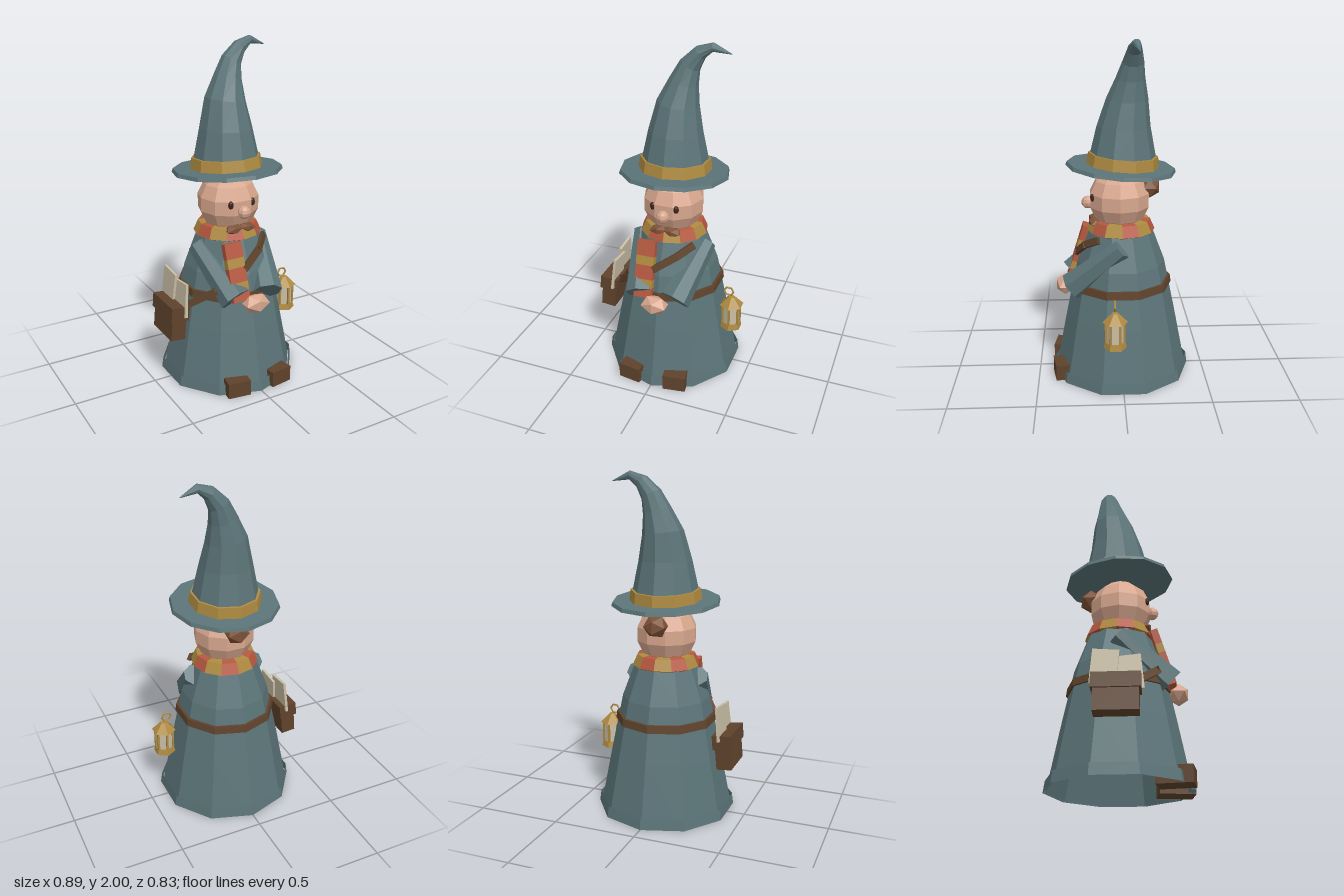
import * as THREE from 'three';

const mat = (name, color, side = THREE.FrontSide) =>
  Object.assign(new THREE.MeshStandardMaterial({ color, flatShading: true, side }), { name });
const cloth = mat('tealCloth', 0x5b7478, THREE.DoubleSide);
const skin = mat('skin', 0xd8a78e);
const gold = mat('gold', 0xae8a40);
const leather = mat('brownLeather', 0x5f432c, THREE.DoubleSide);
const hair = mat('brownHair', 0x7d5238);
const red = mat('redWool', 0xb5583f);
const cream = mat('cream', 0xcabfa6);
const dark = mat('darkEye', 0x3c2418);

const V = (x, y, z) => new THREE.Vector3(x, y, z);

function add(parent, name, geometry, material, x = 0, y = 0, z = 0) {
  const mesh = new THREE.Mesh(geometry, material);
  mesh.name = name;
  mesh.position.set(x, y, z);
  parent.add(mesh);
  return mesh;
}

function group(parent, name, x = 0, y = 0, z = 0) {
  const g = new THREE.Group();
  g.name = name;
  g.position.set(x, y, z);
  parent.add(g);
  return g;
}

const cyl = (rt, rb, h, n, open = false) => new THREE.CylinderGeometry(rt, rb, h, n, 1, open);
const box = (w, h, d) => new THREE.BoxGeometry(w, h, d);
const blob = (x, y, z) => new THREE.IcosahedronGeometry(1, 0).scale(x, y, z);

// Faceted surface through rings [x, y, z, radius] that follow a bending centre line
function bentCone(rings, n) {
  const c = rings.map(r => V(r[0], r[1], r[2]));
  const pos = [], index = [];
  rings.forEach((r, i) => {
    const t = c[Math.min(i + 1, c.length - 1)].clone().sub(c[Math.max(i - 1, 0)]);
    t.z = 0;
    const v = t.normalize().cross(V(0, 0, 1));
    for (let j = 0; j < n; j++) {
      const a = j / n * Math.PI * 2;
      const p = c[i].clone().addScaledVector(v, r[3] * Math.sin(a));
      pos.push(p.x, p.y, p.z + r[3] * Math.cos(a));
      if (i + 1 < rings.length) {
        const k = (j + 1) % n, lo = i * n, hi = lo + n;
        index.push(lo + j, lo + k, hi + k, lo + j, hi + k, hi + j);
      }
    }
  });
  const g = new THREE.BufferGeometry();
  g.setAttribute('position', new THREE.Float32BufferAttribute(pos, 3));
  g.setIndex(index);
  g.computeVertexNormals();
  return g;
}

// Upright mesh laid between two points, bottom to top
function between(mesh, bottom, top) {
  mesh.position.copy(bottom).add(top).multiplyScalar(0.5);
  mesh.quaternion.setFromUnitVectors(V(0, 1, 0), top.clone().sub(bottom).normalize());
}

function buildHat(root) {
  const hat = group(root, 'hat', 0, 1.262, 0);
  const tilted = group(hat, 'brimAndBand');
  tilted.rotation.x = -0.08;
  add(tilted, 'brim', cyl(0.315, 0.322, 0.022, 12), cloth);
  add(tilted, 'hatBand', cyl(0.203, 0.213, 0.065, 10), gold, 0, 0.043, -0.008);
  const crown = bentCone([
    [0, 1.29, -0.008, 0.2], [0, 1.5, -0.015, 0.155], [0.007, 1.66, -0.035, 0.12],
    [0.035, 1.78, -0.052, 0.083], [0.065, 1.87, -0.065, 0.061], [0.12, 1.94, -0.07, 0.042],
    [0.19, 1.975, -0.075, 0.025], [0.292, 1.943, -0.088, 0.002]], 10);
  add(hat, 'hatCrown', crown, cloth, 0, -1.262, 0);
}

function buildHead(root) {
  const head = group(root, 'head', 0, 1.07, 0.01);
  add(head, 'face', new THREE.SphereGeometry(0.183, 10, 7), skin);
  add(head, 'nose', new THREE.SphereGeometry(0.038, 8, 6), skin, 0, -0.02, 0.185);
  add(head, 'hairBun', blob(0.075, 0.068, 0.07), hair, 0, 0.07, -0.175);
  for (const s of [-1, 1]) {
    add(head, 'eye', new THREE.SphereGeometry(0.02, 8, 6).scale(0.9, 1.2, 0.7), dark, s * 0.07, 0.025, 0.157);
    const m = add(head, 'moustache', blob(0.06, 0.028, 0.045), hair, s * 0.042, -0.128, 0.14);
    m.rotation.z = -s * 0.15;
  }
}

function buildScarf(root) {
  const scarf = group(root, 'scarf');
  const profile = [[0.17, 0.87], [0.2, 0.885], [0.172, 0.948], [0.11, 0.955]]
    .map(p => new THREE.Vector2(...p));
  for (let i = 0; i < 12; i++) {
    const wedge = new THREE.LatheGeometry(profile, 1, i * Math.PI / 6, Math.PI / 6);
    add(scarf, 'scarfStripe', wedge, i % 2 ? red : gold);
  }
  // Hanging end, striped along its length
  const tail = group(scarf, 'scarfTail', -0.09, 0.885, 0.205);
  tail.rotation.set(-0.3, 0, 0.02);
  let y = 0;
  [0.09, 0.055, 0.085, 0.05, 0.06].forEach((h, i) => {
    add(tail, 'tailStripe', box(0.11, h, 0.04), i % 2 ? gold : red, 0, y - h / 2, 0);
    y -= h;
  });
}

function buildBody(root) {
  const profile = [[0.397, 0.005], [0.328, 0.36], [0.26, 0.69], [0.185, 0.89], [0.1, 0.91]]
    .map(p => new THREE.Vector2(...p));
  add(root, 'robe', new THREE.LatheGeometry(profile, 10), cloth);
  add(root, 'hem', cyl(0.404, 0.413, 0.065, 10, true), cloth, 0, 0.0325, 0);
  add(root, 'belt', cyl(0.297, 0.303, 0.045, 10), leather, 0, 0.567, 0);

  // Strap running from the left shoulder to the satchel
  const path = [V(0.165, 0.865, 0.14), V(0.09, 0.815, 0.215), V(-0.03, 0.735, 0.262),
    V(-0.2, 0.615, 0.225), V(-0.32, 0.5, 0.09)];
  for (let i = 0; i + 1 < path.length; i++) {
    const strap = add(root, 'strap', box(0.02, path[i].distanceTo(path[i + 1]) + 0.015, 0.042), leather);
    const up = path[i].clone().sub(path[i + 1]).normalize();
    const mid = path[i].clone().add(path[i + 1]).multiplyScalar(0.5);
    const out = V(mid.x, 0.05, mid.z);
    out.addScaledVector(up, -out.dot(up)).normalize();
    strap.quaternion.setFromRotationMatrix(new THREE.Matrix4().makeBasis(out, up, out.clone().cross(up)));
    strap.position.copy(mid);
  }

  for (const s of [-1, 1]) {
    const shoulder = V(s * 0.2, 0.828, 0), cuff = V(s * 0.105, 0.567, 0.283);
    const sleeve = add(root, 'sleeve', cyl(0.06, 0.093, shoulder.distanceTo(cuff), 7), cloth);
    between(sleeve, cuff, shoulder);
    const shoe = add(root, 'shoe', box(0.137, 0.095, 0.2), leather, s * 0.13, 0.0475, 0.306);
    shoe.rotation.y = s * 0.15;
  }
  add(root, 'hands', blob(0.087, 0.06, 0.062), skin, 0, 0.54, 0.335);
}

function buildLantern(root) {
  const lantern = group(root, 'lantern', 0.385, 0.3, 0.05);
  add(lantern, 'lanternBase', cyl(0.058, 0.066, 0.035, 6), gold, 0, 0.0175, 0);
  add(lantern, 'lanternGlass', cyl(0.05, 0.05, 0.13, 6), cream, 0, 0.1, 0);
  for (let i = 0; i < 6; i++) {
    const a = i * Math.PI / 3;
    add(lantern, 'lanternPost', box(0.012, 0.13, 0.012), gold, 0.053 * Math.sin(a), 0.1, 0.053 * Math.cos(a));
  }
  add(lantern, 'lanternRoof', cyl(0.018, 0.073, 0.055, 6), gold, 0, 0.183, 0);
  add(lantern, 'lanternRing', new THREE.TorusGeometry(0.029, 0.006, 5, 6), gold, -0.02, 0.243, 0);
}

function buildSatchel(root) {
  const bag = group(root, 'satchel', -0.392, 0.41, 0.01);
  bag.rotation.z = -0.09;
  add(bag, 'bagBody', box(0.09, 0.2, 0.24), leather);
  add(bag, 'bagFlap', box(0.112, 0.085, 0.262), leather, 0, 0.065, 0);
  // Loose sheets poking out of the top
  [[0.015, 0.17, -0.065, 0.08], [0.03, 0.14, 0.065, -0.1]].forEach(([x, y, z, tilt]) => {
    const sheet = add(bag, 'paper', box(0.016, 0.2, 0.145), cream, x, y, z);
    sheet.rotation.x = tilt;
  });
}

export function createModel() {
  const root = new THREE.Group();
  root.name = 'wanderingGnome';
  buildBody(root);
  buildScarf(root);
  buildHead(root);
  buildHat(root);
  buildLantern(root);
  buildSatchel(root);
  return root;
}
